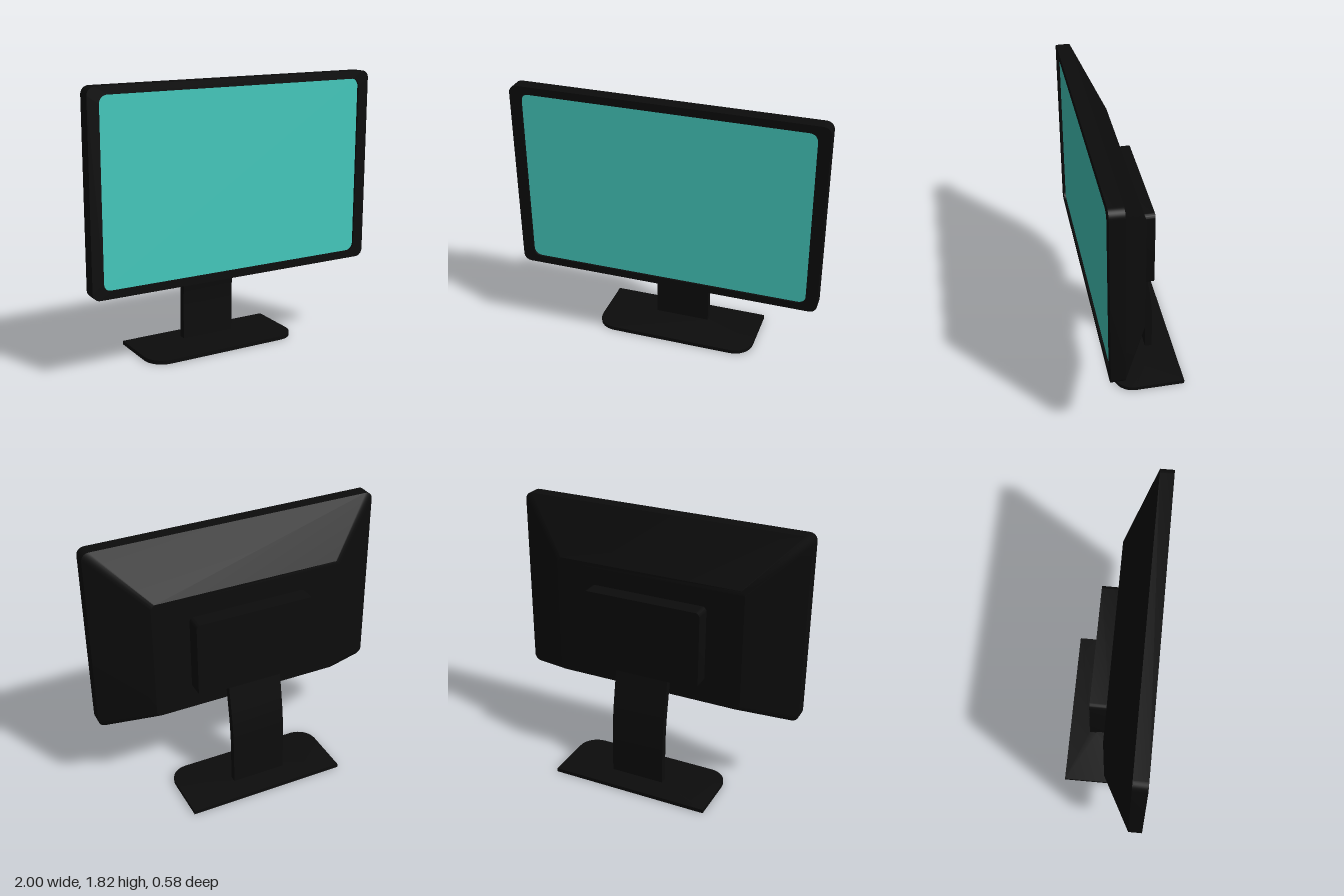
import * as THREE from 'three';
import { toCreasedNormals } from 'three/addons/utils/BufferGeometryUtils.js';

const black = new THREE.MeshStandardMaterial({ color: 0x0c0c0c });
const teal = new THREE.MeshStandardMaterial({ color: 0x45cbbf });
const STEPS = 8;

// Rounded rectangle at height z; rTop and rBottom are the corner radii.
function ring(cx, cy, w, h, z, rTop = 0, rBottom = rTop) {
  const points = [];
  [[1, 1], [-1, 1], [-1, -1], [1, -1]].forEach(([sx, sy], corner) => {
    const r = sy > 0 ? rTop : rBottom;
    for (let i = 0; i <= STEPS; i++) {
      const a = (corner + i / STEPS) * Math.PI / 2;
      points.push(new THREE.Vector3(
        cx + sx * (w / 2 - r) + r * Math.cos(a),
        cy + sy * (h / 2 - r) + r * Math.sin(a), z));
    }
  });
  return points;
}

// Skin over a stack of rings, optionally closed at the start and end.
function loft(rings, capStart = true, capEnd = true) {
  const positions = [];
  const tri = (a, b, c) => {
    const area = b.clone().sub(a).cross(c.clone().sub(a)).length();
    if (area > 1e-9) positions.push(...a, ...b, ...c);
  };
  const n = rings[0].length;
  for (let k = 0; k < rings.length - 1; k++) {
    const a = rings[k], b = rings[k + 1];
    for (let i = 0; i < n; i++) {
      const j = (i + 1) % n;
      tri(a[i], a[j], b[j]);
      tri(a[i], b[j], b[i]);
    }
  }
  const first = rings[0], last = rings[rings.length - 1];
  for (let i = 1; i < n - 1; i++) {
    if (capStart) tri(first[0], first[i + 1], first[i]);
    if (capEnd) tri(last[0], last[i], last[i + 1]);
  }
  const geometry = new THREE.BufferGeometry();
  geometry.setAttribute('position', new THREE.Float32BufferAttribute(positions, 3));
  return toCreasedNormals(geometry, 0.45);
}

export function createModel() {
  const model = new THREE.Group();
  model.name = 'monitor';
  const add = (name, geometry, material = black) => {
    const mesh = new THREE.Mesh(geometry, material);
    mesh.name = name;
    model.add(mesh);
    return mesh;
  };

  // Casing: tapered back, straight rim, front bezel and shallow screen recess
  const screenY = 1.185, recessZ = 0.277;
  add('casing', loft([
    ring(0, 1.065, 1.32, 0.83, 0.01, 0.03),
    ring(0, 1.185, 2, 1.27, 0.2, 0.05),
    ring(0, 1.185, 2, 1.27, 0.29, 0.05),
    ring(0, screenY, 1.85, 1.17, 0.29, 0.05),
    ring(0, screenY, 1.85, 1.17, recessZ, 0.05),
  ], true, false));

  // Screen
  const outline = new THREE.Shape(
    ring(0, 0, 1.85, 1.17, 0, 0.05).map((p) => new THREE.Vector2(p.x, p.y)));
  add('screen', new THREE.ShapeGeometry(outline), teal).position.set(0, screenY, recessZ);

  // Mounting box on the back
  add('mountBox', loft([
    ring(0, 1.065, 0.82, 0.53, -0.1, 0.03),
    ring(0, 1.065, 0.82, 0.53, 0.02, 0.03),
  ]));

  // Curved neck, lofted upwards along its side profile
  const path = new THREE.CatmullRomCurve3([
    [0.02, -0.12], [0.2, -0.12], [0.34, -0.118], [0.5, -0.104], [0.65, -0.08], [0.86, -0.043],
  ].map(([y, z]) => new THREE.Vector3(0, y, z)));
  const neck = loft(path.getPoints(20).map((p) => ring(0, -p.z, 0.374, 0.047, p.y)));
  add('neck', neck.rotateX(-Math.PI / 2));

  // Base: rounded front corners, top rising gently to the foot of the neck
  const base = loft([
    ring(0, 0.06, 1.1, 0.46, 0, 0, 0.13),
    ring(0, 0.06, 1.1, 0.46, 0.026, 0, 0.13),
    ring(0, 0.12, 0.38, 0.05, 0.039),
  ]);
  add('base', base.rotateX(-Math.PI / 2));

  return model;
}
